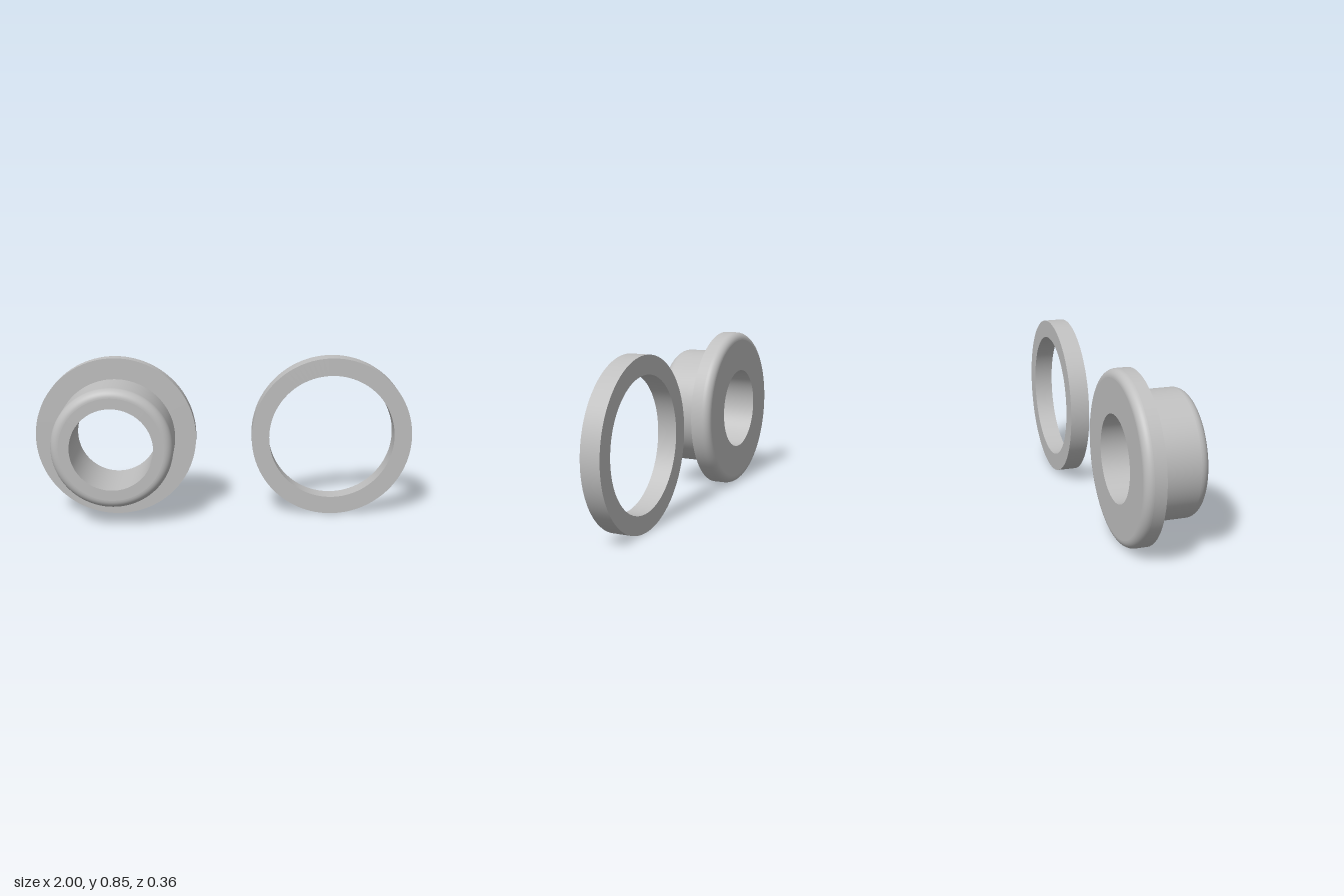
import * as THREE from 'three';
import { mergeGeometries } from 'three/addons/utils/BufferGeometryUtils.js';

const SEGMENTS = 96;
const CENTRE_Y = 0.426, OFFSET_X = 0.574;
const RIM = 0.426, NECK = 0.315, BORE = 0.215, RING_BORE = 0.333;
const BACK = -0.178, STEP = -0.078, FRONT = 0.178;

// Quarter-round run of [radius, z] points around a fillet centre
function fillet(r, z, radius, start) {
  return Array.from({ length: 11 }, (_, i) => {
    const a = start + (i / 10) * Math.PI / 2;
    return [r + radius * Math.cos(a), z + radius * Math.sin(a)];
  });
}

// Revolves each smooth run separately so the edges between runs stay crisp
function revolve(name, runs, material, x) {
  const parts = runs.map((run) =>
    new THREE.LatheGeometry(run.map(([r, z]) => new THREE.Vector2(r, z)), SEGMENTS));
  const geometry = mergeGeometries(parts);
  geometry.rotateX(Math.PI / 2);
  const mesh = new THREE.Mesh(geometry, material);
  mesh.name = name;
  mesh.position.set(x, CENTRE_Y, 0);
  return mesh;
}

export function createModel() {
  const group = new THREE.Group();
  group.name = 'flangedBushingAndRing';
  const grey = new THREE.MeshStandardMaterial({ color: 0xbfbfbf });
  grey.name = 'light grey';

  // Flanged bushing with rounded back rim and rounded nose
  const f = 0.045, b = 0.04;
  group.add(revolve('flangedBushing', [
    [[BORE, BACK], [RIM - b, BACK]],
    fillet(RIM - b, BACK + b, b, -Math.PI / 2),
    [[RIM, BACK + b], [RIM, STEP]],
    [[RIM, STEP], [NECK, STEP]],
    [[NECK, STEP], [NECK, FRONT - f]],
    fillet(NECK - f, FRONT - f, f, 0),
    [[NECK - f, FRONT], [BORE, FRONT]],
    [[BORE, FRONT], [BORE, BACK]],
  ], grey, -OFFSET_X));

  // Plain square-edged ring
  group.add(revolve('retainingRing', [
    [[RING_BORE, BACK], [RIM, BACK]],
    [[RIM, BACK], [RIM, STEP]],
    [[RIM, STEP], [RING_BORE, STEP]],
    [[RING_BORE, STEP], [RING_BORE, BACK]],
  ], grey, OFFSET_X));

  return group;
}
